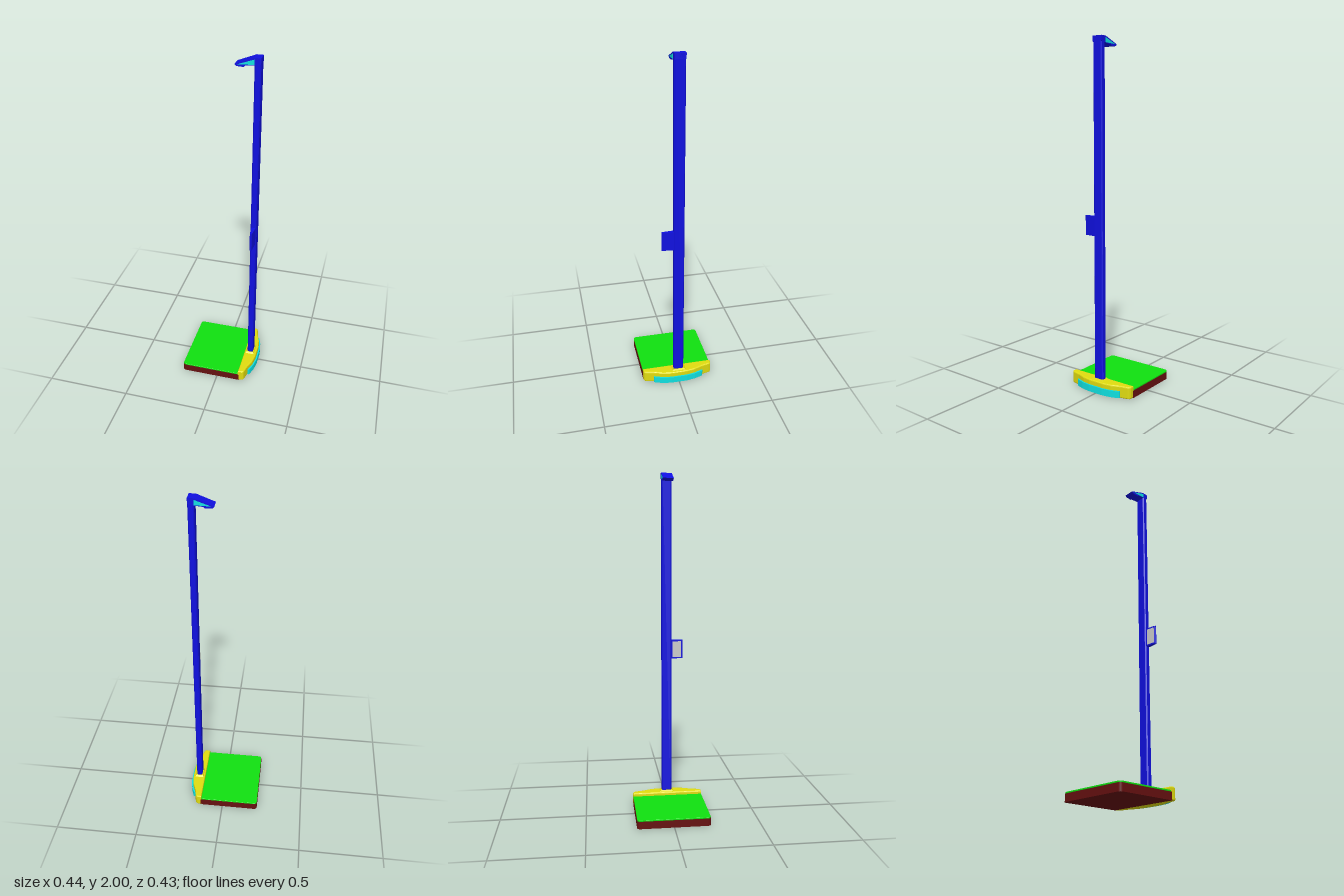
import * as THREE from 'three';

const mat = (color) => new THREE.MeshStandardMaterial({ color, flatShading: true, side: THREE.DoubleSide });
const BLUE = mat(0x1010e0), GREEN = mat(0x10e010), YELLOW = mat(0xe0dc10);
const CYAN = mat(0x10e0e0), BROWN = mat(0x661010), GREY = mat(0xcccccc);

function add(group, name, geometry, material) {
  const mesh = new THREE.Mesh(geometry, material);
  mesh.name = name;
  group.add(mesh);
  return mesh;
}

// Plan outline in x,z raised from y0 to y1, with an optional bevelled edge
function slab(shape, y0, y1, bevel = 0) {
  const g = new THREE.ExtrudeGeometry(shape, {
    depth: y1 - y0 - 2 * bevel, bevelEnabled: bevel > 0, bevelSize: bevel,
    bevelThickness: bevel, bevelOffset: -bevel, bevelSegments: 3, curveSegments: 6,
  });
  return g.rotateX(-Math.PI / 2).translate(0, y0 + bevel, 0);
}

// Outline mirrored across z = 0
function mirrored(half) {
  const pts = [...half, ...half.slice().reverse().map(([x, z]) => [x, -z])];
  return new THREE.Shape(pts.map(([x, z]) => new THREE.Vector2(x, z)));
}

// Solid lofted through closed loops of [x, y, z] corners, capped at both ends
function loft(loops) {
  const n = loops[0].length, index = [];
  for (let k = 0; k < loops.length - 1; k++) {
    for (let i = 0; i < n; i++) {
      const a = k * n + i, b = k * n + (i + 1) % n;
      index.push(a, b, b + n, a, b + n, a + n);
    }
  }
  const last = (loops.length - 1) * n;
  for (let i = 1; i < n - 1; i++) index.push(0, i + 1, i, last, last + i, last + i + 1);
  const g = new THREE.BufferGeometry();
  g.setAttribute('position', new THREE.Float32BufferAttribute(loops.flat(2), 3));
  g.setIndex(index);
  const flat = g.toNonIndexed();
  flat.computeVertexNormals();
  return flat;
}

// Horizontal rectangle, counter-clockwise from above
const rect = (x0, x1, z0, z1, y) => [[x0, y, z1], [x1, y, z1], [x1, y, z0], [x0, y, z0]];

export function createModel() {
  const model = new THREE.Group();
  model.name = 'heightScale';

  // Weighing platform with rounded outer corners
  const plate = (inset) => {
    const r = 0.02, x0 = -0.222 + inset, w = 0.2125 - inset;
    const s = new THREE.Shape();
    s.moveTo(0.14, -w);
    s.lineTo(0.14, w);
    s.lineTo(x0 + r, w);
    s.quadraticCurveTo(x0, w, x0, w - r);
    s.lineTo(x0, -w + r);
    s.quadraticCurveTo(x0, -w, x0 + r, -w);
    return s;
  };
  add(model, 'platformBody', slab(plate(0), 0, 0.043), BROWN);
  add(model, 'platformMat', slab(plate(0.001), 0.043, 0.052, 0.002), GREEN);

  // Bowed end housing and its bumper strip
  const housing = mirrored([
    [0.135, 0.2125], [0.158, 0.2125], [0.168, 0.208], [0.173, 0.198],
    [0.184, 0.15], [0.203, 0.1], [0.211, 0.05],
  ]);
  add(model, 'endHousing', slab(housing, 0, 0.072, 0.008), YELLOW);
  const bumper = mirrored([[0.165, 0.15], [0.19, 0.153], [0.196, 0.148], [0.212, 0.1], [0.22, 0.048]]);
  add(model, 'bumperStrip', slab(bumper, 0.003, 0.042), CYAN);

  // Sloped collar where the column meets the housing
  add(model, 'columnCollar', loft([
    rect(0.143, 0.2, -0.05, 0.044, 0.068),
    rect(0.149, 0.192, -0.035, 0.03, 0.08),
  ]), YELLOW);

  // Column with chamfered corners
  const [x0, x1, w, c] = [0.154, 0.188, 0.03, 0.006];
  const section = mirrored([[x0, w - c], [x0 + c, w], [x1 - c, w], [x1, w - c]]);
  add(model, 'column', slab(section, 0.07, 1.998), BLUE).position.z = -0.002;

  // Measuring head reaching over the platform, with inset side panels
  const head = new THREE.Group();
  head.name = 'measuringHead';
  const side = (pts) => new THREE.Shape(pts.map(([x, y]) => new THREE.Vector2(x, y)));
  const extrude = (shape, z0, z1) =>
    new THREE.ExtrudeGeometry(shape, { depth: z1 - z0, bevelEnabled: false }).translate(0, 0, z0);
  add(head, 'headShell', extrude(side([
    [0.053, 1.962], [0.062, 1.952], [0.1, 1.95], [0.108, 1.958], [0.17, 1.964],
    [0.188, 1.97], [0.188, 2], [0.152, 2],
  ]), -0.033, 0.028), BLUE);
  const panel = side([[0.068, 1.962], [0.154, 1.965], [0.154, 1.992]]);
  add(head, 'headPanelFront', extrude(panel, 0.027, 0.0295), CYAN);
  add(head, 'headPanelBack', extrude(panel, -0.0345, -0.032), CYAN);
  model.add(head);

  // Tapered display bracket with a grey face towards the platform
  const bracket = new THREE.Shape([
    [0.159, 0.02], [0.184, 0.02], [0.178, 0.092], [0.175, 0.096], [0.168, 0.096], [0.165, 0.092],
  ].map(([x, z]) => new THREE.Vector2(x, -z)));
  add(model, 'displayBracket', slab(bracket, 0.91, 1.022), BLUE);
  const face = add(model, 'displayFace', new THREE.BoxGeometry(0.002, 0.096, 0.052), GREY);
  face.position.set(0.1625, 0.966, 0.061);
  face.rotation.y = Math.atan2(0.006, 0.072);

  return model;
}
